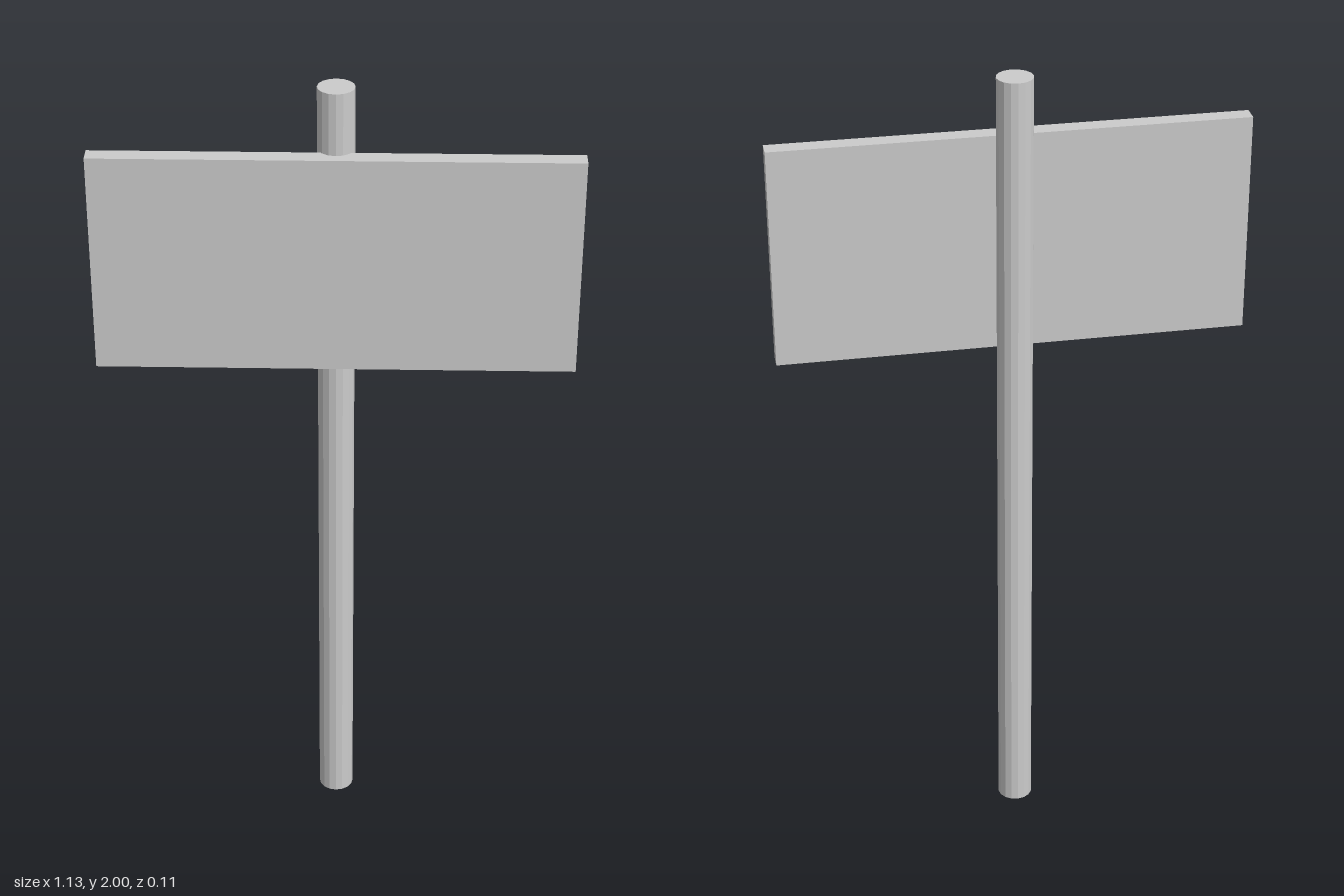
import * as THREE from 'three';

export function createModel() {
  const group = new THREE.Group();
  const material = new THREE.MeshStandardMaterial({ color: 0xcccccc, flatShading: true });

  const addPart = (name, geometry, x, y, z) => {
    const mesh = new THREE.Mesh(geometry, material);
    mesh.name = name;
    mesh.position.set(x, y, z);
    group.add(mesh);
  };

  // Round post, standing on the ground
  addPart('post', new THREE.CylinderGeometry(0.0435, 0.0435, 2, 16), 0, 1, -0.0125);

  // Flat board let into the front of the post
  addPart('signBoard', new THREE.BoxGeometry(1.13, 0.54, 0.043), 0, 1.58, 0.0345);

  return group;
}
